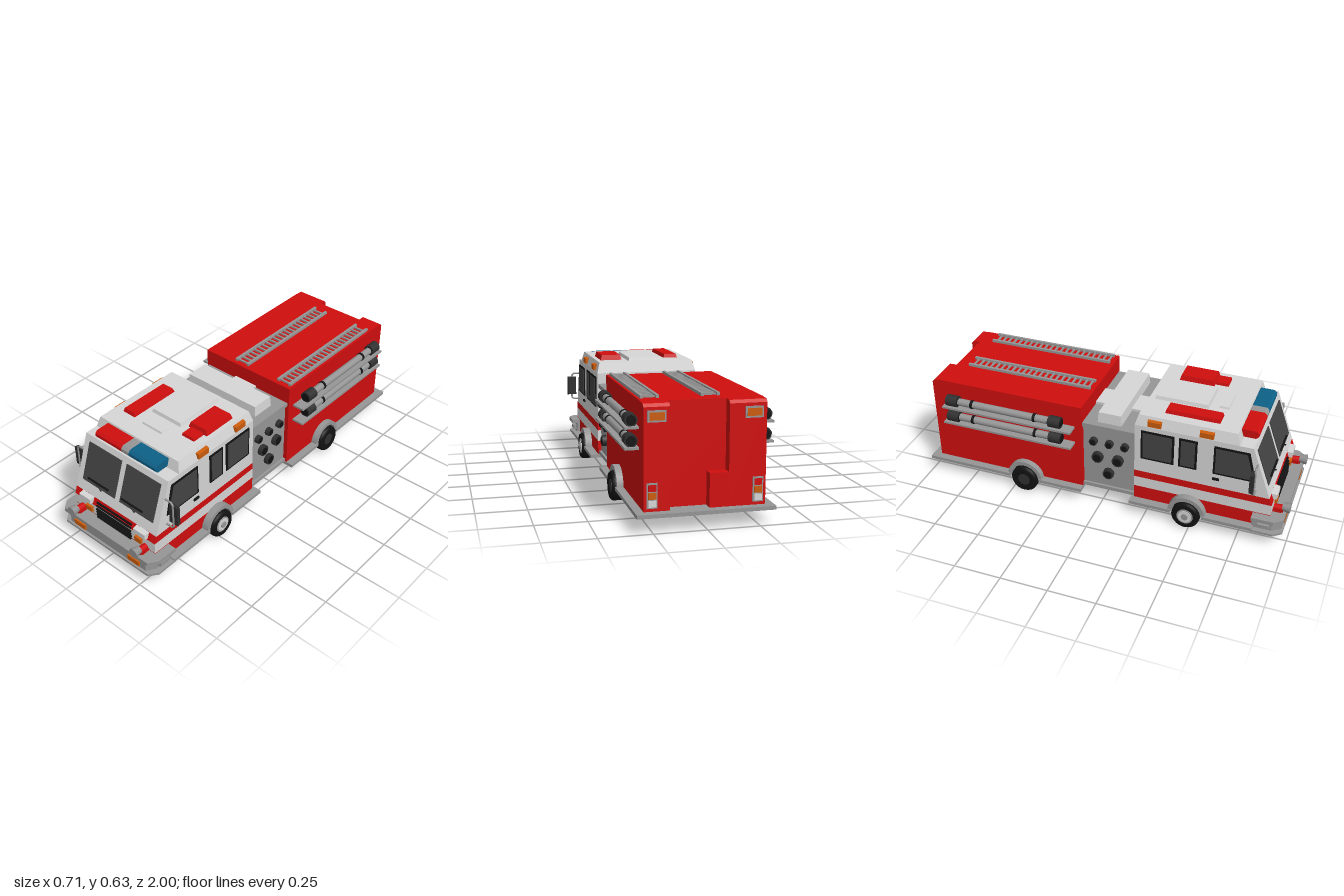
import * as THREE from 'three';

const mat = (name, color, side = THREE.FrontSide) => {
  const m = new THREE.MeshStandardMaterial({ color, side });
  m.name = name;
  return m;
};
const red = mat('red paint', 0xd00e0e);
const white = mat('white paint', 0xd6d6d6);
const grey = mat('metal grey', 0x969696);
const glass = mat('dark glass', 0x444444);
const black = mat('black rubber', 0x121212);
const dark = mat('dark fittings', 0x303030);
const orange = mat('orange lens', 0xcc5c0c);
const blue = mat('blue lens', 0x0e6088);

export function createModel() {
  const root = new THREE.Group();
  root.name = 'fireEngine';

  const add = (name, geo, material, parent = root) => {
    const m = new THREE.Mesh(geo, material);
    m.name = name;
    parent.add(m);
    return m;
  };
  // Box from ranges; bevel pulls in the face on the chosen axis (+1/-1 end)
  const box = (name, material, x, y, z, bevel = 0, axis = 'y', end = 1, parent = root) => {
    const lo = [Math.min(...x), Math.min(...y), Math.min(...z)];
    const hi = [Math.max(...x), Math.max(...y), Math.max(...z)];
    const size = hi.map((v, i) => v - lo[i]);
    let geo = new THREE.BoxGeometry(...size);
    if (bevel) {
      const p = geo.attributes.position, a = 'xyz'.indexOf(axis);
      for (let i = 0; i < p.count; i++) {
        if (p.getComponent(i, a) * end < 0) continue;
        for (let k = 0; k < 3; k++) {
          const v = p.getComponent(i, k);
          if (k !== a) p.setComponent(i, k, v - Math.sign(v) * bevel);
        }
      }
      geo = geo.toNonIndexed();
      geo.computeVertexNormals();
    }
    geo.translate(...lo.map((v, i) => (v + hi[i]) / 2));
    return add(name, geo, material, parent);
  };
  const toShape = (s) => (Array.isArray(s) ? new THREE.Shape(s.map((p) => new THREE.Vector2(...p))) : s);
  // Outline in (z, y), extruded between two x positions
  const across = (name, material, outline, xa, xb) => {
    const geo = new THREE.ExtrudeGeometry(toShape(outline), { depth: Math.abs(xb - xa), bevelEnabled: false, curveSegments: 20 });
    geo.rotateY(-Math.PI / 2).translate(Math.max(xa, xb), 0, 0);
    return add(name, geo, material);
  };
  // Outline in (x, z), extruded between two heights
  const upward = (name, material, outline, y0, y1) => {
    const geo = new THREE.ExtrudeGeometry(toShape(outline), { depth: y1 - y0, bevelEnabled: false });
    geo.rotateX(Math.PI / 2).translate(0, y1, 0);
    return add(name, geo, material);
  };
  // Cylinder centred at c along an axis
  const rod = (name, material, c, r, len, axis = 'x', seg = 16, r2 = r, parent = root) => {
    const geo = new THREE.CylinderGeometry(r2, r, len, seg);
    if (axis === 'x') geo.rotateZ(-Math.PI / 2);
    if (axis === 'z') geo.rotateX(Math.PI / 2);
    geo.translate(...c);
    return add(name, geo, material, parent);
  };
  // Lower bodywork with a wheel cut-out
  const arched = (z0, z1, y0, y1, wz) => {
    const s = new THREE.Shape();
    s.moveTo(z0, y0);
    s.lineTo(wz - 0.078, y0);
    s.absarc(wz, y0, 0.078, Math.PI, 0, true);
    s.lineTo(z1, y0);
    s.lineTo(z1, y1);
    s.lineTo(z0, y1);
    return s;
  };
  const FRONT = 0.48, REAR = -0.43;

  // Cab in painted layers
  const W = 0.28;
  const frontZ = (y) => 0.91 - Math.max(0, y - 0.225) * 0.359;
  const layer = (name, m, y0, y1) =>
    across(name, m, [[0.185, y0], [frontZ(y0), y0], [frontZ(y1), y1], [0.185, y1]], -W, W);
  across('cabSkirt', red, arched(0.185, 0.91, 0.085, 0.165, FRONT), -W, W);
  layer('cabLowerBand', white, 0.165, 0.225);
  layer('cabStripe', red, 0.225, 0.265);
  layer('cabUpper', white, 0.265, 0.545);
  const roof = box('cabRoof', white, [-W, W], [0.545, 0.602], [0.185, 0.725], 0.016);
  roof.geometry.attributes.position.needsUpdate = true;

  // Windscreen and wipers on the sloping front
  const screen = new THREE.Group();
  screen.name = 'windscreen';
  screen.position.set(0, 0.225, 0.91);
  screen.rotation.x = -Math.atan(0.359);
  root.add(screen);
  for (const [s, wx] of [[-1, -0.13], [1, 0.103]]) {
    box('windscreenPane', glass, [s * 0.017, s * 0.244], [0.101, 0.308], [-0.004, 0.005], 0, 'y', 1, screen);
    rod('wiperBlade', black, [wx, 0.127, 0.012], 0.005, 0.145, 'x', 8, 0.005, screen);
    const arm = rod('wiperArm', black, [0, 0, 0], 0.004, 0.05, 'x', 6, 0.004, screen);
    arm.position.set(wx + 0.005, 0.113, 0.01);
    arm.rotation.z = -0.6;
  }

  // Roof equipment
  box('roofHatch', white, [-0.1, 0.095], [0.6, 0.62], [0.23, 0.515], 0.006);
  box('roofVent', white, [-0.07, 0.065], [0.6, 0.612], [0.56, 0.615], 0.004);
  box('roofLocker', red, [-0.21, -0.13], [0.6, 0.622], [0.32, 0.605], 0.006);
  box('roofUnit', red, [0.12, 0.24], [0.6, 0.63], [0.295, 0.485], 0.008);
  box('roofUnitNose', red, [0.14, 0.22], [0.6, 0.616], [0.485, 0.555], 0.004);
  box('lightBarMount', grey, [-0.07, 0.07], [0.544, 0.56], [0.72, 0.785]);
  const barEnd = (y, z, b) => [[z + b, y[0]], [z + 0.1 - b, y[0]], [z + 0.1, 0.565], [z + 0.1, 0.582], [z + 0.1 - b, y[1]], [z + b, y[1]], [z, 0.582], [z, 0.565]];
  const bar = barEnd([0.553, 0.595], 0.7, 0.014);
  across('lightBarRed', red, bar, -0.205, -0.025);
  across('lightBarCentre', grey, bar, -0.025, 0.025);
  across('lightBarBlue', blue, bar, 0.025, 0.205);

  // Bumper with stepped plates
  const plan = (w, c, z) => [[-w, 0.82], [w, 0.82], [w, z - 0.045], [w - c, z], [-w + c, z], [-w, z - 0.045]];
  upward('bumperCore', grey, plan(0.296, 0.03, 0.968), 0.075, 0.155);
  upward('bumperTop', grey, plan(0.328, 0.035, 0.98), 0.142, 0.162);
  upward('bumperBase', grey, plan(0.325, 0.035, 0.98), 0.07, 0.082);

  // Grille
  for (const y of [0.25, 0.233, 0.214, 0.196, 0.178, 0.162]) rod('grilleBar', black, [0, y, frontZ(y) + 0.004], 0.0055, 0.242, 'x', 8);

  for (const s of [-1, 1]) {
    // Front lamps and horns
    box('headlight', white, [s * 0.148, s * 0.234], [0.229, 0.266], [0.88, 0.925], 0.004, 'z');
    box('turnSignal', orange, [s * 0.148, s * 0.198], [0.175, 0.211], [0.9, 0.922], 0.004, 'z');
    box('bumperLamp', orange, [s * 0.148, s * 0.233], [0.09, 0.126], [0.95, 0.977], 0.004, 'z');
    box('bumperSideLamp', grey, [s * 0.29, s * 0.316], [0.095, 0.125], [0.85, 0.915], 0.004, 'x', s);
    rod('hornBody', red, [s * 0.22, 0.178, 0.938], 0.017, 0.05, 'z', 12, 0.021);
    box('hornFoot', red, [s * 0.2, s * 0.24], [0.155, 0.172], [0.905, 0.955]);
    rod('hornBell', grey, [s * 0.22, 0.19, 0.977], 0.02, 0.04, 'z', 10, 0.028);

    // Cab side windows
    const pane = (z0a, z0b, z1, y0, y1) => {
      const f = (d) => [[z1 + d, y0 + d], [z0b - d, y0 + d], [z0a - d, y1 - d], [z1 + d, y1 - d]];
      across('windowFrame', black, f(0), s * 0.275, s * 0.285);
      across('windowGlass', glass, f(0.011), s * 0.28, s * 0.288);
    };
    pane(0.78, 0.82, 0.6, 0.35, 0.515);
    pane(0.515, 0.515, 0.42, 0.35, 0.52);
    pane(0.395, 0.395, 0.22, 0.35, 0.52);
    box('doorHandle', black, [s * 0.275, s * 0.288], [0.313, 0.325], [0.6, 0.635]);
    for (const z of [0.52, 0.25]) box('cabMarkerLamp', orange, [s * 0.262, s * 0.288], [0.55, 0.587], [z, z + 0.077], 0.004, 'x', s);

    // Mirror on its loop bracket
    const loop = new THREE.CurvePath();
    const pts = [[0.265, 0.455], [0.315, 0.455], [0.327, 0.443], [0.327, 0.31], [0.317, 0.298], [0.265, 0.298]]
      .map(([x, y]) => new THREE.Vector3(s * x, y, 0.822));
    for (let i = 1; i < pts.length; i++) loop.add(new THREE.LineCurve3(pts[i - 1], pts[i]));
    add('mirrorBracket', new THREE.TubeGeometry(loop, 48, 0.0055, 6), grey);
    box('mirror', dark, [s * 0.3, s * 0.354], [0.325, 0.435], [0.8, 0.821], 0.004, 'z', -1);

    // Wheels
    for (const [name, z] of [['front', FRONT], ['rear', REAR]]) {
      const profile = [[0, -0.052], [0.045, -0.052], [0.066, -0.057], [0.074, -0.047], [0.075, -0.035], [0.075, 0.035], [0.074, 0.047], [0.066, 0.057], [0.045, 0.052], [0, 0.052]];
      const tyre = new THREE.LatheGeometry(profile.map((p) => new THREE.Vector2(...p)), 28);
      tyre.rotateZ(-Math.PI / 2).translate(s * 0.278, 0.075, z);
      add(name + 'Tyre', tyre, black);
      if (name === 'front') {
        rod('frontRim', grey, [s * 0.32, 0.075, z], 0.044, 0.026, 'x', 24);
        rod('frontHubRing', white, [s * 0.326, 0.075, z], 0.036, 0.018, 'x', 24);
        rod('frontHub', grey, [s * 0.33, 0.075, z], 0.018, 0.022, 'x', 12);
      } else rod('rearHub', dark, [s * 0.322, 0.075, z], 0.034, 0.02, 'x', 20);

      // Wheel arch
      const arch = new THREE.Shape();
      arch.absarc(z, 0.08, 0.1, 0, Math.PI, false);
      arch.absarc(z, 0.08, 0.078, Math.PI, 0, true);
      across(name + 'Arch', grey, arch, s * 0.27, s * 0.318);
    }

    // Side hose racks
    for (const y of [0.488, 0.393]) {
      box('hoseShelf', grey, [s * 0.28, s * 0.352], [y - 0.038, y - 0.027], [-0.875, -0.14]);
      rod('hosePipe', grey, [s * 0.318, y, -0.53], 0.02, 0.6, 'z', 12);
      for (const z of [-0.235, -0.825]) {
        rod('hoseCoupling', dark, [s * 0.318, y, z], 0.031, 0.065, 'z', 10);
        rod('hoseCap', black, [s * 0.318, y, z], 0.024, 0.072, 'z', 10);
      }
      for (const z of [-0.35, -0.71]) rod('hoseClamp', black, [s * 0.318, y, z], 0.023, 0.014, 'z', 12);
    }

    // Pump gauges and outlets
    for (const [z, y, r] of [[0.13, 0.385, 0.022], [0.045, 0.385, 0.022], [-0.042, 0.385, 0.022], [0.092, 0.29, 0.031], [-0.02, 0.29, 0.031], [0.04, 0.197, 0.03]]) {
      rod('pumpOutlet', dark, [s * 0.272, y, z], r, 0.026, 'x', 10);
      rod('pumpOutletCap', black, [s * 0.275, y, z], r * 0.7, 0.028, 'x', 10);
    }

    // Rear lamps
    const lx = s > 0 ? [0.182, 0.268] : [-0.268, -0.182];
    box('rearLampFrame', grey, lx, [0.495, 0.548], [-0.95, -0.962]);
    box('rearLamp', orange, [lx[0] + 0.009, lx[1] - 0.009], [0.504, 0.539], [-0.95, -0.967]);
    box('tailLampFrame', grey, [s * 0.222, s * 0.272], [0.105, 0.222], [-0.95, -0.962]);
    [white, orange, red].forEach((m, i) =>
      box('tailLamp', m, [s * 0.229, s * 0.265], [0.112 + i * 0.036, 0.142 + i * 0.036], [-0.95, -0.967]));
  }

  // Running boards and underside
  for (const [z0, z1] of [[-1, REAR - 0.085], [REAR + 0.085, -0.1], [0.17, FRONT - 0.085], [FRONT + 0.085, 0.83]])
    box('runningBoard', grey, [-0.325, 0.325], [0.072, 0.09], [z0, z1]);
  rod('frontAxle', grey, [0, 0.08, FRONT], 0.02, 0.46, 'x', 10);
  rod('rearAxle', red, [0, 0.08, REAR], 0.02, 0.46, 'x', 10);

  // Pump section between cab and body
  box('pumpHousing', grey, [-0.262, 0.262], [0.1, 0.47], [-0.11, 0.19]);
  box('pumpSill', grey, [-0.275, 0.275], [0.09, 0.11], [-0.11, 0.19]);
  box('pumpDeck', grey, [-0.275, 0.275], [0.465, 0.487], [-0.11, 0.19]);
  box('deckWalkway', white, [-0.08, 0.062], [0.48, 0.5], [-0.105, 0.187]);
  box('deckLocker', white, [-0.24, 0.222], [0.487, 0.545], [-0.03, 0.1], 0.004);

  // Rear body with recessed back
  across('rearBody', red, arched(-0.905, -0.102, 0.085, 0.58, REAR), -0.285, 0.285);
  const column = [[-0.957, 0.085], [-0.9, 0.085], [-0.9, 0.579], [-0.945, 0.577], [-0.957, 0.563]];
  across('rearColumn', red, column, -0.285, -0.11);
  across('rearColumn', red, column, 0.165, 0.285);
  box('rearStepLocker', red, [-0.112, -0.02], [0.085, 0.25], [-0.957, -0.9]);

  // Roof ladders
  for (const [x0, x1] of [[-0.102, -0.012], [0.185, 0.272]]) {
    for (const x of [x0, x1 - 0.014]) box('ladderRail', grey, [x, x + 0.014], [0.578, 0.594], [-0.835, -0.125]);
    for (let i = 0; i < 22; i++) {
      const z = -0.815 + i * 0.032;
      box('ladderRung', grey, [x0 + 0.01, x1 - 0.01], [0.579, 0.589], [z, z + 0.009]);
    }
  }
  return root;
}
